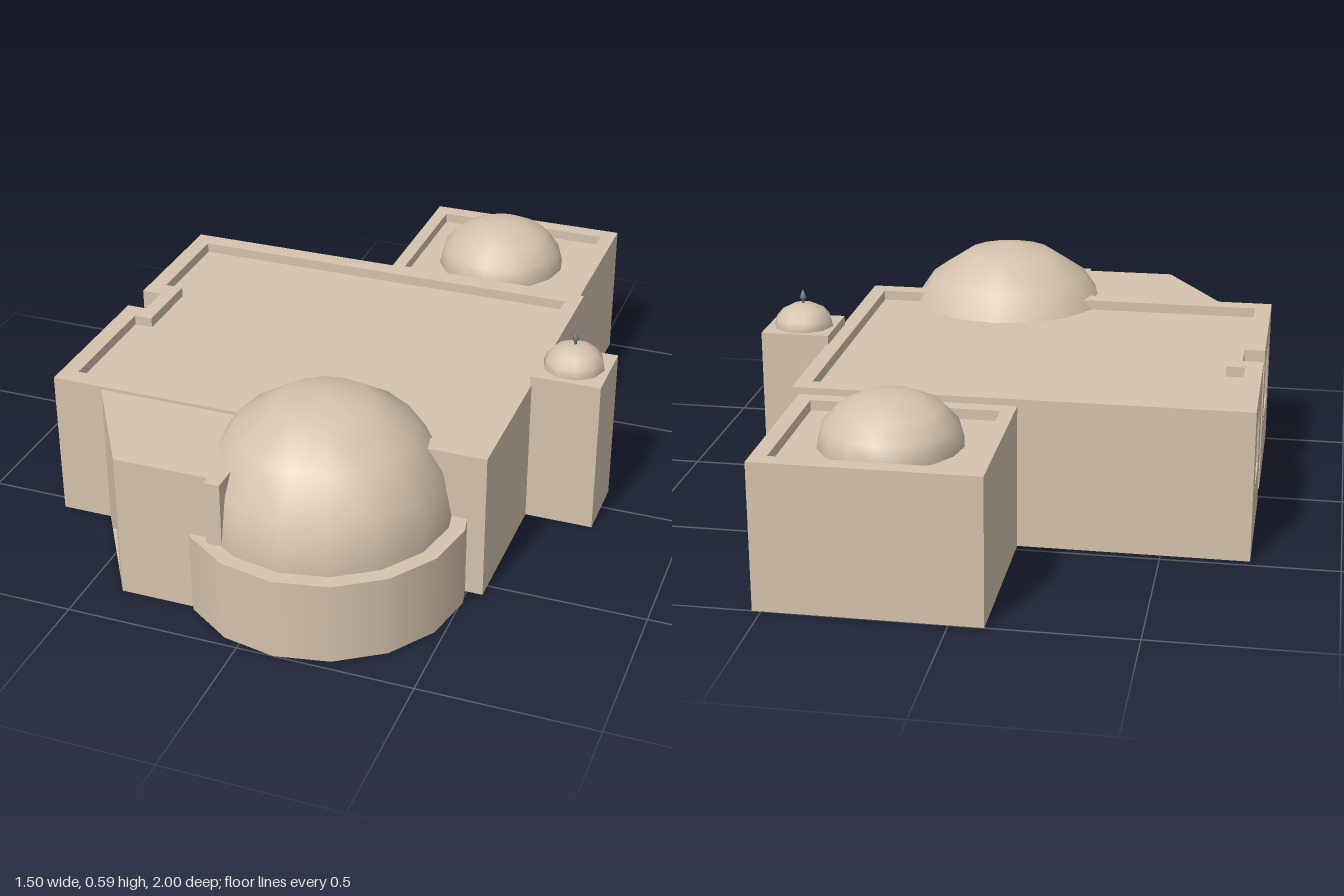
import * as THREE from 'three';

const stone = new THREE.MeshStandardMaterial({ color: 0xd4c2ac, side: THREE.DoubleSide });
stone.name = 'stone';
const glass = new THREE.MeshStandardMaterial({ color: 0xcdd5da, side: THREE.DoubleSide });
glass.name = 'glass';
const metal = new THREE.MeshStandardMaterial({ color: 0x6f7a7c });
metal.name = 'metal';

function add(parent, name, geometry, material, x = 0, y = 0, z = 0) {
  const mesh = new THREE.Mesh(geometry, material);
  mesh.name = name;
  mesh.position.set(x, y, z);
  parent.add(mesh);
  return mesh;
}

const shapeOf = (pts) => new THREE.Shape(pts.map(([x, y]) => new THREE.Vector2(x, y)));
// Plan outlines are given as [x, z]
const planShape = (pts) => shapeOf(pts.map(([x, z]) => [x, -z]));
const rect = (x0, x1, z0, z1) => [[x0, z0], [x0, z1], [x1, z1], [x1, z0]];

// Group whose local x runs from p to q and whose local z points outwards
function wallFrame(parent, name, p, q) {
  const g = new THREE.Group();
  g.name = name;
  g.position.set(p[0], 0, p[1]);
  g.rotation.y = Math.atan2(-(q[1] - p[1]), q[0] - p[0]);
  parent.add(g);
  return Math.hypot(q[0] - p[0], q[1] - p[1]);
}

// Plain walls along an outline, skipping the edges that hold openings
function walls(parent, outline, h, skip = []) {
  outline.forEach((p, i) => {
    if (skip.includes(i)) return;
    const len = wallFrame(parent, 'wall', p, outline[(i + 1) % outline.length]);
    add(parent.children.at(-1), 'wallFace', new THREE.PlaneGeometry(len, h), stone, len / 2, h / 2, 0);
  });
}

// Thick wall with an opening, its face at local z = front
function panel(parent, name, len, h, hole, depth, front = 0) {
  const s = shapeOf([[0, 0], [len, 0], [len, h], [0, h]]);
  s.holes.push(shapeOf(hole));
  add(parent, name, new THREE.ExtrudeGeometry(s, { depth, bevelEnabled: false }), stone, 0, 0, front - depth);
}

function flatRoof(parent, outline, y) {
  add(parent, 'roof', new THREE.ShapeGeometry(planShape(outline)), stone, 0, y, 0).rotation.x = -Math.PI / 2;
}

// Raised rim around a sunken roof
function parapet(parent, outer, inner, floor, top) {
  const s = planShape(outer);
  s.holes.push(planShape(inner));
  const geo = new THREE.ExtrudeGeometry(s, { depth: top - floor, bevelEnabled: false });
  add(parent, 'parapet', geo, stone, 0, floor, 0).rotation.x = -Math.PI / 2;
  flatRoof(parent, inner, floor);
}

function dome(parent, name, r, h, segs, x, y, z) {
  const geo = new THREE.SphereGeometry(r, segs, 4, 0, Math.PI * 2, 0, Math.PI / 2);
  geo.scale(1, h / r, 1);
  add(parent, name, geo, stone, x, y, z);
}

function part(root, name) {
  const g = new THREE.Group();
  g.name = name;
  root.add(g);
  return g;
}

export function createModel() {
  const root = new THREE.Group();
  root.name = 'domedBuilding';

  // Main hall with a notch in its side
  const hall = part(root, 'mainHall');
  const outer = [[-0.75, -0.475], [-0.75, -0.04], [-0.69, -0.04], [-0.69, 0.065],
    [-0.75, 0.065], [-0.75, 0.545], [0.545, 0.545], [0.545, -0.475]];
  const inner = [[-0.7, -0.42], [-0.7, -0.1], [-0.645, -0.1], [-0.645, 0.12],
    [-0.7, 0.12], [-0.7, 0.49], [0.5, 0.49], [0.5, -0.42]];
  walls(hall, outer, 0.41, [0, 4]);
  parapet(hall, outer, inner, 0.41, 0.44);

  // Tapered windows either side of the notch
  for (const [i, half, y0, y1] of [[0, 0.1, 0.17, 0.35], [4, 0.125, 0.175, 0.36]]) {
    const len = wallFrame(hall, 'windowWall', outer[i], outer[i + 1]);
    const g = hall.children.at(-1), c = len / 2, top = half - 0.033;
    const hole = [[c - half, y0], [c + half, y0], [c + top, y1], [c - top, y1]];
    panel(g, 'windowSurround', len, 0.41, hole, 0.03);
    add(g, 'windowPane', new THREE.ShapeGeometry(shapeOf(hole)), glass, 0, 0, -0.025);
  }

  // Rear room with a low dome
  const rear = part(root, 'rearRoom');
  const rearOuter = rect(-0.095, 0.525, -1, -0.475);
  walls(rear, rearOuter, 0.39);
  parapet(rear, rearOuter, rect(-0.055, 0.48, -0.95, -0.52), 0.39, 0.42);
  dome(rear, 'rearDome', 0.2, 0.145, 16, 0.205, 0.39, -0.725);

  // Side tower with small dome and finial
  const tower = part(root, 'sideTower');
  const towerPlan = rect(0.54, 0.745, -0.09, 0.115);
  walls(tower, towerPlan, 0.467);
  flatRoof(tower, towerPlan, 0.467);
  dome(tower, 'towerDome', 0.09, 0.07, 10, 0.64, 0.467, 0.01);
  const finial = [[0.004, 0], [0.004, 0.012], [0.011, 0.02], [0.006, 0.032], [0, 0.047]];
  add(tower, 'finial', new THREE.LatheGeometry(finial.map(([r, y]) => new THREE.Vector2(r, y)), 8),
    metal, 0.64, 0.533, 0.01);

  // Great dome on its round drum
  const great = part(root, 'greatDome');
  dome(great, 'dome', 0.355, 0.35, 16, 0.105, 0.24, 0.6);
  const arc = Math.PI * 1.25;
  add(great, 'drum', new THREE.CylinderGeometry(0.4, 0.4, 0.24, 10, 1, true, -arc / 2, arc),
    stone, 0.105, 0.12, 0.6);
  add(great, 'drumLedge', new THREE.RingGeometry(0.34, 0.4, 10, 1, Math.PI * 1.5 - arc / 2, arc),
    stone, 0.105, 0.24, 0.6).rotation.x = -Math.PI / 2;

  // Entrance wing with a slanted door wall
  const wing = part(root, 'entranceWing');
  const wingPlan = [[-0.6, 0.545], [-0.4, 0.87], [-0.125, 0.87], [-0.125, 0.895], [-0.08, 0.895], [-0.08, 0.545]];
  walls(wing, wingPlan, 0.43, [0, 5]);
  flatRoof(wing, wingPlan, 0.43);

  // Stepped pointed doorway
  const len = wallFrame(wing, 'doorWall', wingPlan[0], wingPlan[1]);
  const door = wing.children.at(-1);
  const arch = (half, shoulder, apex) => [[-half, 0.002], [half, 0.002], [half * 0.88, shoulder], [0, apex],
    [-half * 0.88, shoulder]].map(([x, y]) => [x + len / 2, y]);
  panel(door, 'outerArch', len, 0.43, arch(0.12, 0.335, 0.385), 0.07);
  const innerArch = arch(0.065, 0.255, 0.29);
  panel(door, 'innerArch', len, 0.43, innerArch, 0.03, -0.07);
  add(door, 'doorPane', new THREE.ShapeGeometry(shapeOf(innerArch)), glass, 0, 0, -0.095);

  return root;
}
